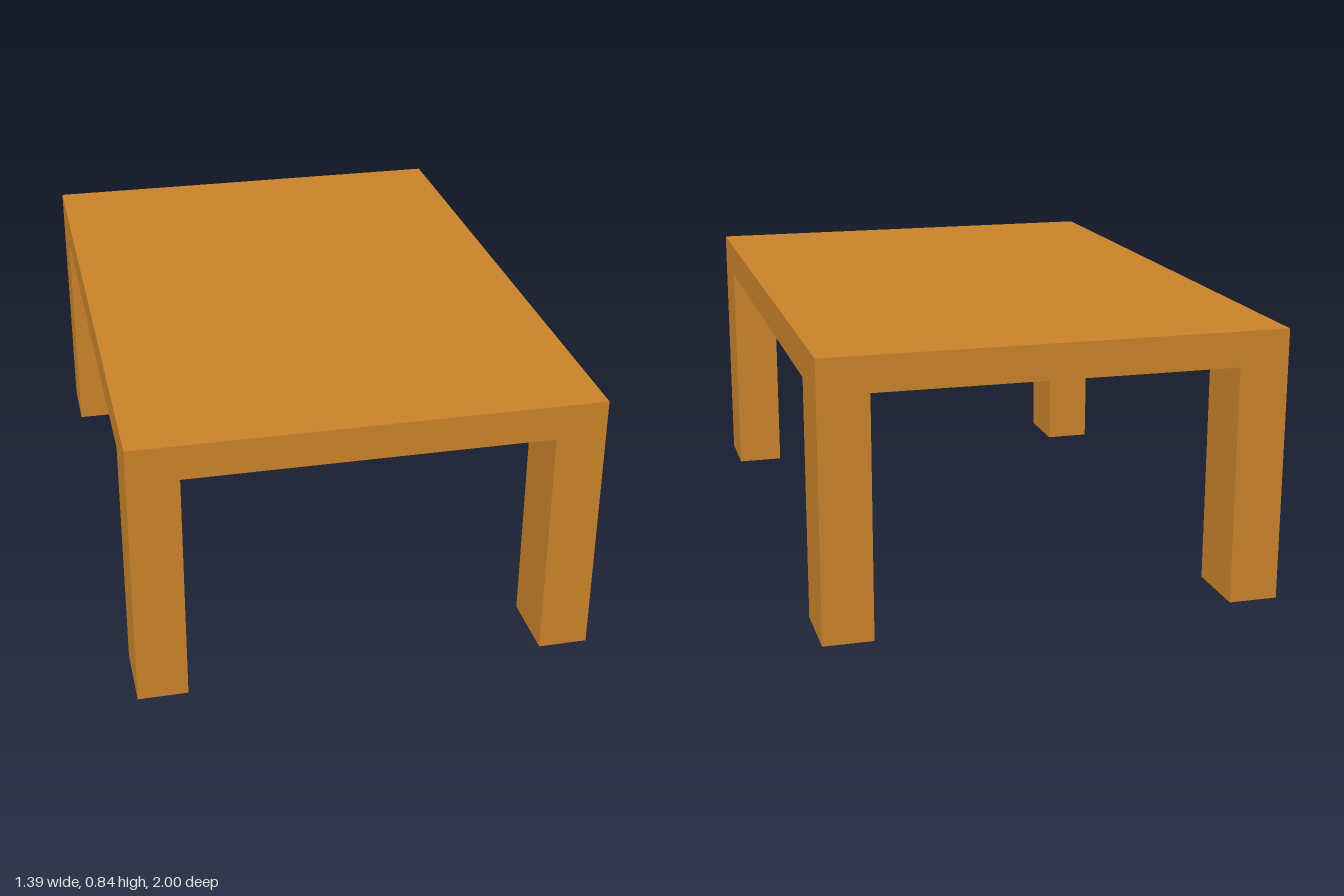
import * as THREE from 'three';

const WIDTH = 1.394, DEPTH = 2, HEIGHT = 0.838, TOP = 0.107;
const LEG_WIDTH = 0.151, LEG_DEPTH = 0.217;

export function createModel() {
  const table = new THREE.Group();
  table.name = 'table';
  const wood = new THREE.MeshStandardMaterial({ color: 0xc8822a });

  const addBox = (name, size, position) => {
    const mesh = new THREE.Mesh(new THREE.BoxGeometry(...size), wood);
    mesh.name = name;
    mesh.position.set(...position);
    table.add(mesh);
  };

  // Flat slab top
  addBox('tableTop', [WIDTH, TOP, DEPTH], [0, HEIGHT - TOP / 2, 0]);

  // Four legs, flush with the corners of the top
  const legHeight = HEIGHT - TOP;
  for (const [side, sx] of [['Left', 1], ['Right', -1]]) {
    for (const [end, sz] of [['front', 1], ['back', -1]]) {
      addBox(`${end}${side}Leg`, [LEG_WIDTH, legHeight, LEG_DEPTH],
        [sx * (WIDTH - LEG_WIDTH) / 2, legHeight / 2, sz * (DEPTH - LEG_DEPTH) / 2]);
    }
  }
  return table;
}
